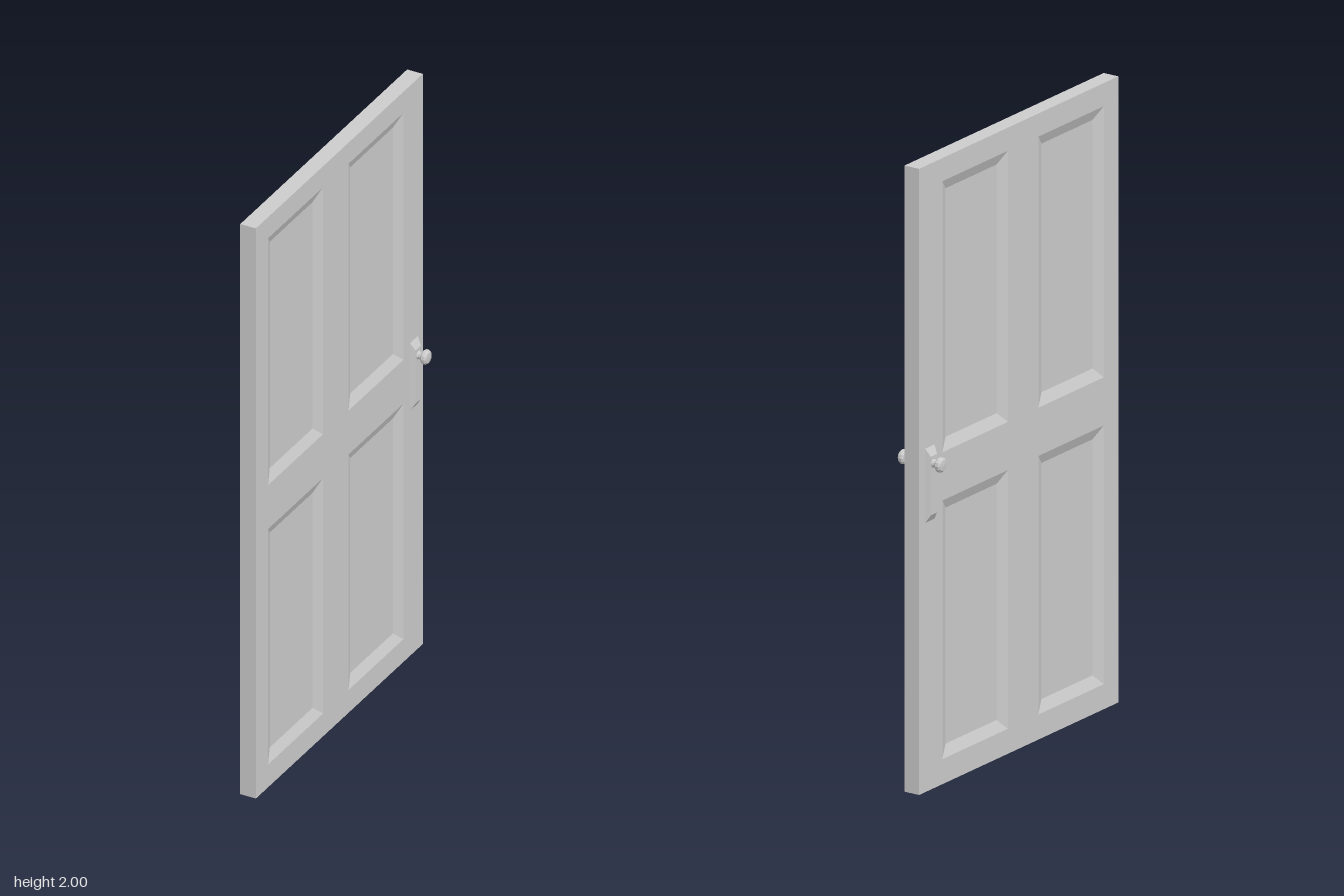
import * as THREE from 'three';

const T = 0.027, W = 0.523, H = 2;   // half thickness, half width, height
const DEPTH = 0.015;                 // panel recess
const material = new THREE.MeshStandardMaterial({
  color: 0xcccccc, flatShading: true, side: THREE.DoubleSide,
});

// Each face of the door is drawn in (u, y) with w pointing outward, then turned to the +x or -x side.
function addMesh(group, name, geometry) {
  const mesh = new THREE.Mesh(geometry, material);
  mesh.name = name;
  group.add(mesh);
  return mesh;
}

// Four sloping sides from a rectangle at w0 to a smaller one at w1, closed by a flat floor or cap
function bevelledRect(u0, u1, y0, y1, insetU, insetY, w0, w1) {
  const outer = [[u0, y0, w0], [u1, y0, w0], [u1, y1, w0], [u0, y1, w0]];
  const inner = [
    [u0 + insetU, y0 + insetY, w1], [u1 - insetU, y0 + insetY, w1],
    [u1 - insetU, y1 - insetY, w1], [u0 + insetU, y1 - insetY, w1],
  ];
  const pos = [];
  const quad = (a, b, c, d) => pos.push(...a, ...b, ...c, ...a, ...c, ...d);
  for (let i = 0; i < 4; i++) {
    const j = (i + 1) % 4;
    quad(outer[i], outer[j], inner[j], inner[i]);
  }
  quad(...inner);
  const g = new THREE.BufferGeometry();
  g.setAttribute('position', new THREE.Float32BufferAttribute(pos, 3));
  g.computeVertexNormals();
  return g;
}

function rectPath(PathType, u0, u1, y0, y1) {
  return new PathType([[u0, y0], [u1, y0], [u1, y1], [u0, y1]].map(p => new THREE.Vector2(...p)));
}

function makeSide(s) {
  const side = new THREE.Group();
  side.name = s > 0 ? 'leftFace' : 'rightFace';
  const span = (za, zb) => [-s * za, -s * zb].sort((a, b) => a - b);

  // Stiles and rails with four panel openings
  const frame = rectPath(THREE.Shape, -W, W, 0, H);
  for (const [za, zb] of [[0.103, 0.447], [-0.401, -0.057]]) {
    for (const [y0, y1] of [[0.08, 0.906], [1.06, 1.926]]) {
      const [u0, u1] = span(za, zb);
      frame.holes.push(rectPath(THREE.Path, u0, u1, y0, y1));
      addMesh(side, 'recessedPanel', bevelledRect(u0, u1, y0, y1, 0.038, 0.036, T, T - DEPTH));
    }
  }
  addMesh(side, 'frameFace', new THREE.ShapeGeometry(frame).translate(0, 0, T));

  // Handle: bevelled backplate and turned knob
  const [p0, p1] = span(-0.491, -0.442);
  addMesh(side, 'handlePlate', bevelledRect(p0, p1, 0.86, 1.097, 0.008, 0.025, T, 0.042));
  const profile = [
    [0.015, 0.04], [0.012, 0.046], [0.012, 0.056], [0.019, 0.058],
    [0.0235, 0.063], [0.0235, 0.072], [0.018, 0.078], [0, 0.08],
  ].map(p => new THREE.Vector2(...p));
  const knob = new THREE.LatheGeometry(profile, 12).rotateX(Math.PI / 2);
  addMesh(side, 'knob', knob.translate(s * 0.468, 1.047, 0));

  side.rotation.y = s * Math.PI / 2;
  return side;
}

export function createModel() {
  const door = new THREE.Group();
  door.name = 'panelDoor';
  door.add(makeSide(1), makeSide(-1));

  // Edges of the hollow door; the underside is open
  addMesh(door, 'topEdge', new THREE.PlaneGeometry(2 * T, 2 * W).rotateX(-Math.PI / 2).translate(0, H, 0));
  addMesh(door, 'frontEdge', new THREE.PlaneGeometry(2 * T, H).translate(0, H / 2, W));
  addMesh(door, 'backEdge', new THREE.PlaneGeometry(2 * T, H).rotateY(Math.PI).translate(0, H / 2, -W));
  return door;
}
